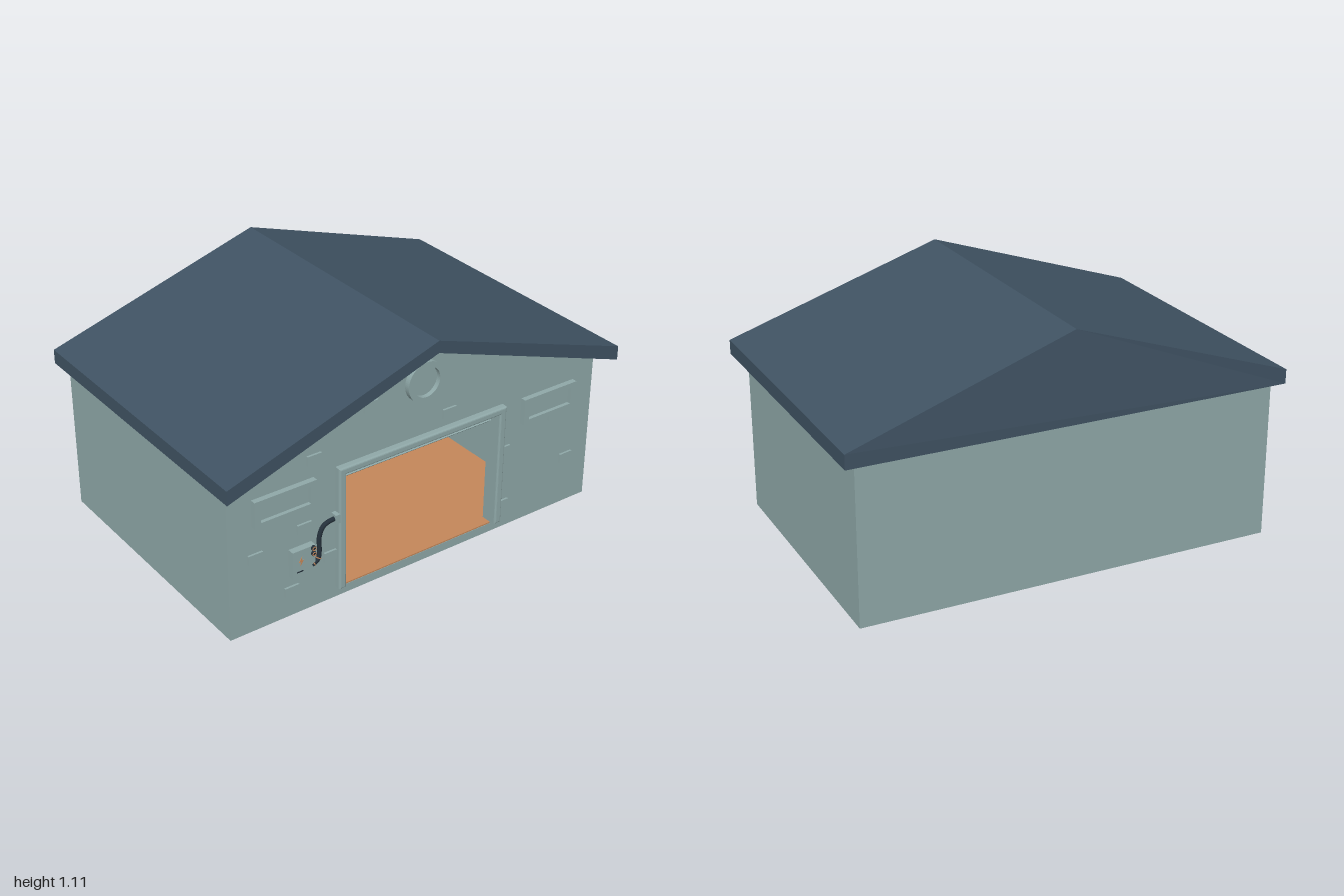
import * as THREE from 'three';

const material = (name, color, side = THREE.FrontSide) => {
  const m = new THREE.MeshStandardMaterial({ color, side });
  m.name = name;
  return m;
};

const polygon = (points) => new THREE.Shape(points.map(([x, y]) => new THREE.Vector2(x, y)));
const rectangle = (x0, y0, x1, y1) => polygon([[x0, y0], [x1, y0], [x1, y1], [x0, y1]]);

// Extrude a shape from z0 to z1, with optional holes
function slab(shape, z0, z1, holes = []) {
  shape.holes.push(...holes);
  const g = new THREE.ExtrudeGeometry(shape, { depth: z1 - z0, bevelEnabled: false, curveSegments: 32 });
  return g.translate(0, 0, z0);
}

export function createModel() {
  const model = new THREE.Group();
  model.name = 'garage';
  const wall = material('wall grey green', 0x8fa8a8);
  const roof = material('roof slate blue', 0x3f5262);
  const orange = material('orange', 0xc4875a);
  const dark = material('cable dark', 0x24303a);

  const add = (name, geometry, mat, parent = model) => {
    const mesh = new THREE.Mesh(geometry, mat);
    mesh.name = name;
    parent.add(mesh);
    return mesh;
  };
  const box = (name, mat, w, h, d, x, y, z, parent = model) => {
    const mesh = add(name, new THREE.BoxGeometry(w, h, d), mat, parent);
    mesh.position.set(x, y, z);
    return mesh;
  };

  // Walls: gabled sections around a hollow room, with a door opening in front
  const gable = () => polygon([[-0.95, 0], [0.95, 0], [0.95, 0.73], [0, 1.055], [-0.95, 0.73]]);
  add('frontWall', slab(gable(), 0.55, 0.6, [rectangle(-0.4, 0.04, 0.4, 0.605)]), wall);
  add('roomWalls', slab(gable(), -0.28, 0.55, [rectangle(-0.71, 0.04, 0.71, 0.66)]), wall);
  add('backWall', slab(gable(), -0.66, -0.28), wall);
  box('floor', orange, 1.418, 0.006, 0.828, 0, 0.043, 0.135);
  box('threshold', orange, 0.8, 0.006, 0.05, 0, 0.043, 0.573);

  // Roof: chevron slab with a slightly leaning, closed back
  add('roof', slab(polygon([[-1, 0.71], [0, 1.05], [1, 0.71], [1, 0.775], [0, 1.105], [-1, 0.775]]), -0.66, 0.695), roof);
  const backRoof = slab(polygon([[-1, 0.71], [1, 0.71], [1, 0.775], [0, 1.105], [-1, 0.775]]), -0.695, -0.66);
  const p = backRoof.attributes.position;
  for (let i = 0; i < p.count; i++) {
    if (p.getZ(i) < -0.68) p.setZ(i, -0.695 + Math.max(0, (p.getY(i) - 0.775) / 0.33) * 0.03);
  }
  backRoof.computeVertexNormals();
  add('backRoof', backRoof, roof);

  // Rounded door frame
  const b = 0.008;
  const frame = new THREE.ExtrudeGeometry(polygon([
    [-0.435 + b, 0.05 + b], [-0.4 - b, 0.05 + b], [-0.4 - b, 0.6 + b], [0.4 + b, 0.6 + b],
    [0.4 + b, 0.05 + b], [0.435 - b, 0.05 + b], [0.435 - b, 0.632 - b], [-0.435 + b, 0.632 - b],
  ]), { depth: 0.03, bevelEnabled: true, bevelSize: b, bevelThickness: b, bevelSegments: 3 });
  add('doorFrame', frame.translate(0, 0, 0.593), wall);

  // Raised shutter: overlapping tilted slats under the lintel
  for (let i = 0; i < 4; i++) {
    const slat = box('shutterSlat', wall, 0.8, 0.022, 0.01, 0, 0.548 + i * 0.016, 0.562);
    slat.rotation.x = 0.85;
  }

  // Windows, mirrored
  for (const side of [-1, 1]) {
    const g = new THREE.Group();
    g.name = side > 0 ? 'leftWindow' : 'rightWindow';
    g.position.set(side * 0.688, 0.562, 0.6);
    add('windowFrame', slab(rectangle(-0.147, -0.062, 0.147, 0.062), 0, 0.025, [rectangle(-0.118, -0.04, 0.118, 0.04)]), wall, g);
    box('windowPane', wall, 0.236, 0.08, 0.008, 0, 0, 0.004, g);
    model.add(g);
  }

  // Round gable vent
  const ring = new THREE.Shape().absarc(0, 0, 0.092, 0, Math.PI * 2);
  const ringHole = new THREE.Path().absarc(0, 0, 0.068, 0, Math.PI * 2, true);
  add('ventRing', slab(ring, 0, 0.025, [ringHole]), wall).position.set(0, 0.887, 0.6);
  add('ventPane', new THREE.CircleGeometry(0.068, 32), wall).position.set(0, 0.887, 0.604);

  // Scattered raised bricks
  const bricks = [
    [-0.265, 0.857], [-0.54, 0.708], [0.14, 0.692], [-0.645, 0.825], [0.35, 0.917], [0.685, 0.805], [0.735, 0.485],
    [-0.59, 0.405], [-0.825, 0.352], [0.82, 0.237], [0.45, 0.395], [0.455, 0.12], [-0.46, 0.22], [-0.655, 0.125],
  ];
  for (const [x, y] of bricks) box('brick', wall, 0.068, 0.044, 0.016, x, y, 0.602);

  // Wall charger
  const charger = new THREE.Group();
  charger.name = 'charger';
  model.add(charger);
  box('chargerBox', wall, 0.11, 0.13, 0.032, -0.61, 0.26, 0.615, charger);
  const bolt = polygon([[0.004, 0.022], [-0.012, -0.003], [-0.001, -0.003], [-0.005, -0.022], [0.012, 0.004], [0.001, 0.004]]);
  add('boltSign', slab(bolt, 0, 0.002), orange, charger).position.set(-0.625, 0.272, 0.631);
  box('chargerSlot', dark, 0.03, 0.005, 0.002, -0.632, 0.224, 0.632, charger);
  for (const y of [0.29, 0.315]) {
    const plug = add('socket', new THREE.CylinderGeometry(0.011, 0.011, 0.012, 16).rotateX(Math.PI / 2), dark, charger);
    plug.position.set(-0.567, y, 0.635);
    add('socketRing', new THREE.TorusGeometry(0.008, 0.002, 6, 16), orange, charger).position.set(-0.567, y, 0.642);
  }

  // Cable from the charger to the door frame
  const path = new THREE.CatmullRomCurve3([
    [-0.57, 0.228, 0.625], [-0.54, 0.245, 0.625], [-0.53, 0.28, 0.622], [-0.528, 0.34, 0.618],
    [-0.51, 0.385, 0.618], [-0.48, 0.4, 0.618], [-0.435, 0.403, 0.618],
  ].map((v) => new THREE.Vector3(...v)));
  add('cable', new THREE.TubeGeometry(path, 40, 0.01, 10), dark, charger);
  for (const t of [0.04, 0.16]) {
    const band = add('cableBand', new THREE.TorusGeometry(0.01, 0.0025, 6, 16), orange, charger);
    band.position.copy(path.getPointAt(t));
    band.lookAt(band.position.clone().add(path.getTangentAt(t)));
  }
  box('cableSocket', wall, 0.022, 0.042, 0.034, -0.444, 0.403, 0.615, charger);

  return model;
}
